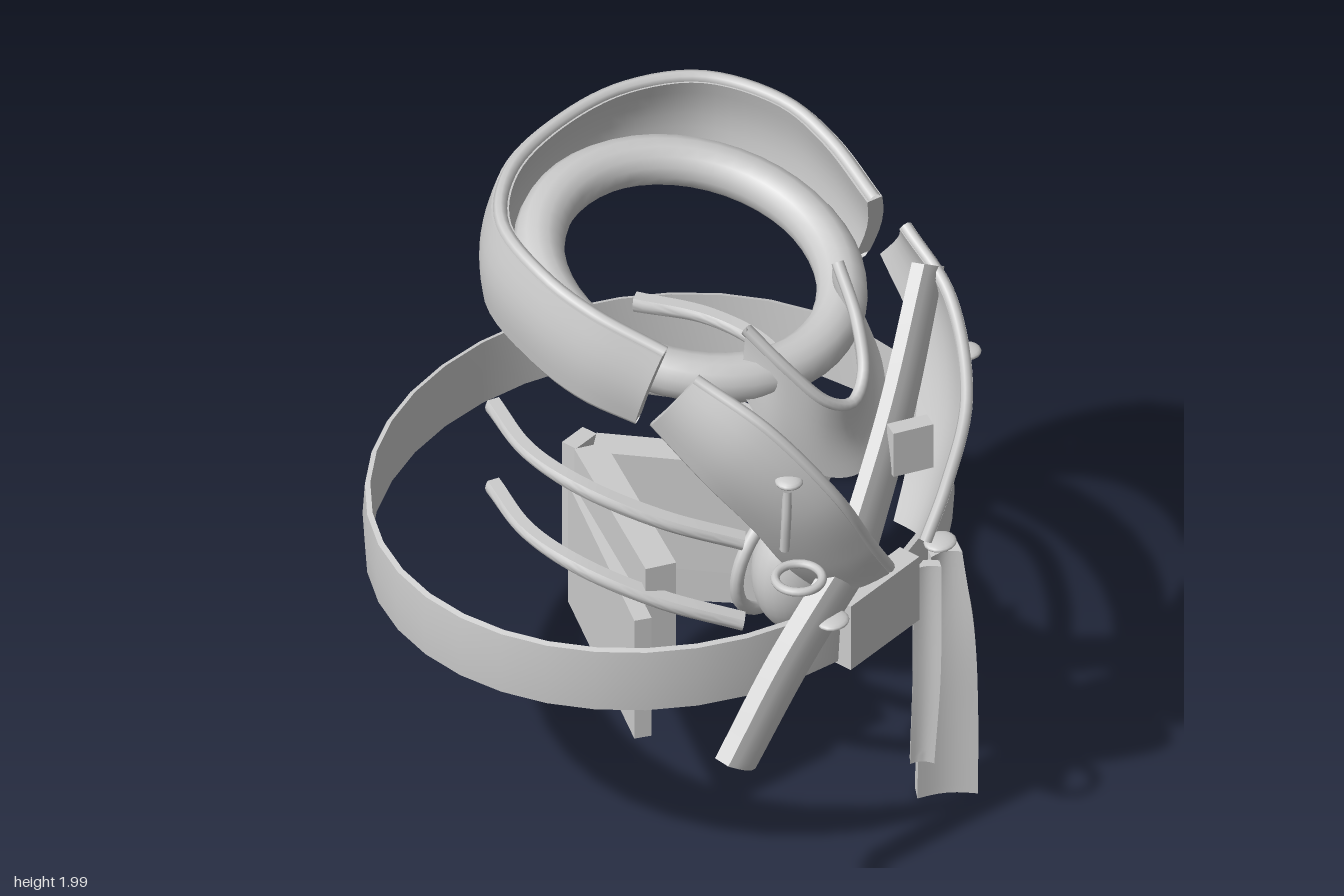
import * as THREE from 'three';
import { toCreasedNormals } from 'three/addons/utils/BufferGeometryUtils.js';

export function createModel() {
  const model = new THREE.Group();
  const grey = new THREE.MeshStandardMaterial({ color: 0xcccccc, side: THREE.DoubleSide });
  grey.name = 'lightGrey';

  const add = (name, geo, pos = [0, 0, 0], rot = [0, 0, 0], scale = [1, 1, 1]) => {
    const m = new THREE.Mesh(geo, grey);
    m.name = name;
    m.position.set(...pos);
    m.rotation.set(...rot);
    m.scale.set(...scale);
    model.add(m);
  };
  const curve = pts => new THREE.CatmullRomCurve3(pts.map(p => new THREE.Vector3(...p)));
  const mirrorX = pts => pts.map(([x, y, z]) => [-x, y, z]);
  // full symmetric path from the half that ends on the centre line
  const bothSides = pts => [...pts, ...mirrorX(pts).reverse().slice(1)];
  const tube = (pts, r, n = 32) => new THREE.TubeGeometry(curve(pts), n, r, 8);

  // thick curved band between two edges, arched by bulge across its width
  function band(edgeA, edgeB, thick, bulge, n = 32, m = 6) {
    const a = curve(edgeA), b = curve(edgeB), pos = [], idx = [], ring = 2 * (m + 1);
    for (let i = 0; i <= n; i++) {
      const t = i / n, A = a.getPoint(t), B = b.getPoint(t);
      const across = B.clone().sub(A);
      const along = a.getTangent(t).add(b.getTangent(t));
      const normal = along.cross(across).normalize();
      for (let k = 0; k < ring; k++) {
        const outer = k <= m, u = (outer ? k : ring - 1 - k) / m;
        const h = bulge * Math.sin(Math.PI * u) + (outer ? 0.5 : -0.5) * thick;
        const p = A.clone().addScaledVector(across, u).addScaledVector(normal, h);
        pos.push(p.x, p.y, p.z);
      }
    }
    for (let i = 0; i < n; i++) for (let k = 0; k < ring; k++) {
      const p = i * ring + k, q = i * ring + (k + 1) % ring;
      idx.push(p, p + ring, q, q, p + ring, q + ring);
    }
    for (const s of [0, n * ring]) for (let k = 0; k < m; k++) {
      const p = s + k, q = s + k + 1, r = s + ring - 1 - k, w = s + ring - 2 - k;
      if (s) idx.push(p, r, q, q, r, w);
      else idx.push(p, q, r, q, w, r);
    }
    const g = new THREE.BufferGeometry();
    g.setAttribute('position', new THREE.Float32BufferAttribute(pos, 3));
    g.setIndex(idx);
    return toCreasedNormals(g, 0.7);
  }

  // waist belt with buckle
  const beltProfile = [[0.852, 0.74], [0.868, 0.745], [0.875, 0.845], [0.868, 0.945], [0.852, 0.95], [0.852, 0.74]]
    .map(p => new THREE.Vector2(...p));
  add('belt', toCreasedNormals(new THREE.LatheGeometry(beltProfile, 36), 0.6), [0, 0, -0.06], [0, 0, 0], [1, 1, 0.9]);
  add('buckle', new THREE.BoxGeometry(0.3, 0.22, 0.07), [0, 0.845, 0.72]);
  add('buckleBarrel', new THREE.CylinderGeometry(0.1, 0.1, 0.14, 24).rotateX(Math.PI / 2), [0, 0.845, 0.62]);

  // hanging belt ends
  add('longBeltEnd', band(
    [[0.27, 0.87, 0.69], [0.265, 0.6, 0.665], [0.265, 0.3, 0.655], [0.27, 0.01, 0.645]],
    [[0.345, 0.87, 0.74], [0.365, 0.6, 0.775], [0.385, 0.3, 0.77], [0.395, 0.01, 0.76]], 0.05, -0.015));
  add('shortBeltEnd', band(
    [[0.2, 0.86, 0.69], [0.2, 0.5, 0.69], [0.2, 0.18, 0.68]],
    [[0.26, 0.86, 0.74], [0.25, 0.5, 0.75], [0.245, 0.18, 0.73]], 0.03, -0.01));

  // neck ring
  add('neckRing', new THREE.TorusGeometry(0.415, 0.07, 14, 48).rotateX(Math.PI / 2),
    [0, 1.71, 0.055], [0.21, 0, 0], [1, 1, 1.05]);

  // raised collar, open at the front
  const collarTop = bothSides([[0.46, 1.82, 0.34], [0.52, 1.89, 0.13], [0.525, 1.94, -0.04], [0.44, 1.97, -0.26], [0.25, 1.98, -0.39], [0, 1.98, -0.43]]);
  const collarBottom = bothSides([[0.49, 1.58, 0.27], [0.54, 1.62, 0.12], [0.54, 1.66, -0.04], [0.455, 1.7, -0.28], [0.255, 1.73, -0.41], [0, 1.74, -0.44]]);
  add('collar', band(collarTop, collarBottom, 0.05, -0.02, 60));
  add('collarTrim', tube(collarTop, 0.02, 60));
  add('collarLowerTrim', tube(collarBottom, 0.02, 60));

  // yoke wrapped over the front of the neck ring
  const yokeTop = bothSides([[0.2, 1.79, 0.42], [0.15, 1.67, 0.53], [0.08, 1.56, 0.61], [0, 1.52, 0.635]]);
  const yokeBottom = bothSides([[0.25, 1.62, 0.44], [0.22, 1.47, 0.55], [0.12, 1.34, 0.63], [0, 1.3, 0.66]]);
  add('yoke', band(yokeTop, yokeBottom, 0.03, -0.02, 40));
  add('yokeTrim', tube(yokeTop, 0.018, 40));

  for (const [side, s] of [['left', 1], ['right', -1]]) {
    const flip = pts => (s > 0 ? pts : mirrorX(pts));

    // lapels
    const front = flip([[0.46, 1.78, 0.45], [0.4, 1.67, 0.66], [0.29, 1.45, 0.81], [0.17, 1.23, 0.835], [0.08, 1.09, 0.835]]);
    const back = flip([[0.51, 1.61, 0.34], [0.46, 1.45, 0.5], [0.37, 1.29, 0.59], [0.27, 1.12, 0.63], [0.18, 1.01, 0.66]]);
    add(side + 'Lapel', band(front, back, 0.04, 0.025 * s));
    add(side + 'LapelTrim', tube(front, 0.018));
    add(side + 'LapelBackTrim', tube(back, 0.014));

    // studs on lapel and belt
    const stud = new THREE.SphereGeometry(0.04, 16, 10);
    add(side + 'LapelStud', stud, [0.39 * s, 1.52, 0.73], [0, 0, 0], [1, 0.4, 1]);
    add(side + 'BeltStud', stud, [0.235 * s, 0.96, 0.76], [0, 0, 0], [1.25, 0.35, 1.1]);

    // two pairs of arms curving round to the back
    const arm = (name, dy) => add(side + name, band(
      flip([[0.18, 1.05 + dy, 0.4], [0.32, 1.12 + dy, 0.22], [0.41, 1.185 + dy, 0], [0.4, 1.205 + dy, -0.2], [0.31, 1.22 + dy, -0.4]]),
      flip([[0.18, 1.01 + dy, 0.39], [0.32, 1.08 + dy, 0.21], [0.41, 1.145 + dy, 0], [0.4, 1.17 + dy, -0.2], [0.31, 1.175 + dy, -0.4]]), 0.035, 0.008));
    arm('UpperArm', 0);
    arm('LowerArm', -0.28);

    // hinged panels: an outer cover and a taller inner block
    const panel = (name, angle, w, y0, y1, len, x, z) => add(side + name, new THREE.BoxGeometry(w, y1 - y0, len),
      [s * (x + Math.sin(angle) * len / 2), (y0 + y1) / 2, z + Math.cos(angle) * len / 2], [0, angle * s, 0]);
    panel('Cover', 0.6, 0.05, 0.39, 0.8, 0.66, 0.03, -0.33);
    panel('InnerBlock', 0.54, 0.09, 0.55, 0.93, 0.59, 0.01, -0.3);
  }
  add('panelSpine', new THREE.BoxGeometry(0.09, 0.38, 0.05), [0, 0.74, -0.345]);

  // diagonal sash in two lengths
  add('upperSash', band(
    [[0.37, 1.76, 0.57], [0.1, 1.46, 0.67], [-0.2, 1.14, 0.75]],
    [[0.47, 1.69, 0.56], [0.2, 1.37, 0.67], [-0.08, 1.04, 0.75]], 0.04, 0.015));
  add('lowerSash', band(
    [[-0.18, 1.15, 0.74], [-0.4, 0.89, 0.69], [-0.6, 0.63, 0.66]],
    [[-0.06, 1.06, 0.74], [-0.28, 0.8, 0.69], [-0.48, 0.555, 0.66]], 0.05, 0.02));
  add('sashClip', new THREE.BoxGeometry(0.12, 0.15, 0.05), [0.11, 1.365, 0.755], [0, -0.5, 0]);

  // rounded pouch behind the buckle, with its rim
  add('pouch', new THREE.SphereGeometry(1, 28, 20), [0, 0.885, 0.46], [0, 0, 0], [0.17, 0.21, 0.125]);
  add('pouchRim', new THREE.TorusGeometry(0.18, 0.02, 10, 36), [0, 0.88, 0.37], [0.1, 0, 0]);

  // ring and cord on the right lapel
  add('lapelRing', new THREE.TorusGeometry(0.066, 0.013, 10, 28).rotateX(Math.PI / 2), [-0.39, 1.2, 0.765]);
  add('ringCord', tube([[-0.385, 1.48, 0.72], [-0.39, 1.38, 0.72], [-0.385, 1.27, 0.71]], 0.014, 12));
  add('looseCord', tube([[0, 1.28, 0.385], [0, 1.2, 0.42], [0, 1.12, 0.425]], 0.008, 12));

  return model;
}
